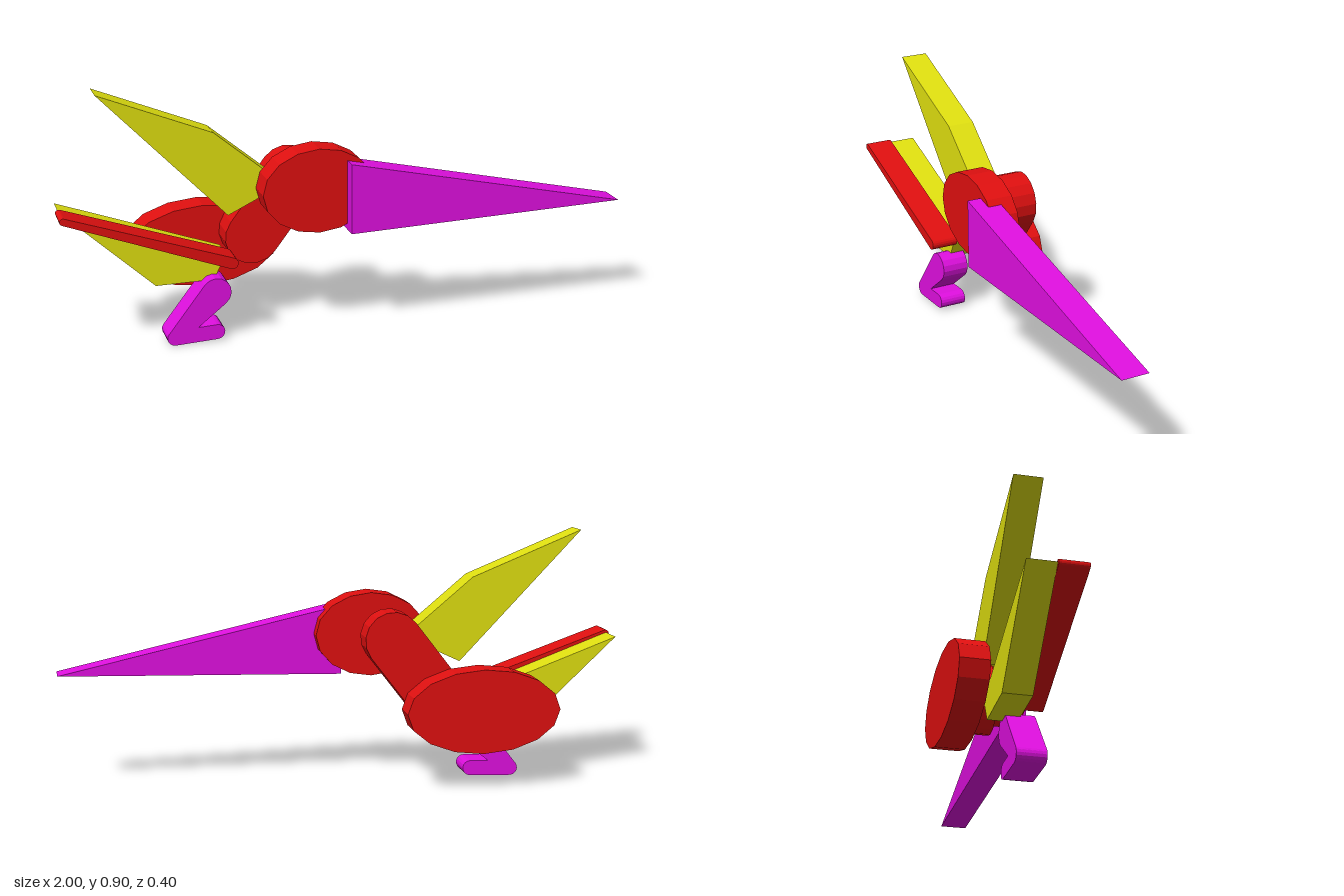
import * as THREE from 'three';

const T = 0.1; // thickness of every flat layer

const red = new THREE.MeshStandardMaterial({ name: 'red', color: 0xe01010 });
const yellow = new THREE.MeshStandardMaterial({ name: 'yellow', color: 0xe0e010 });
const magenta = new THREE.MeshStandardMaterial({ name: 'magenta', color: 0xe010e0 });

// Points along an arc, with the end included
function arc(cx, cy, rx, ry, start, end, steps) {
  const pts = [];
  for (let i = 0; i <= steps; i++) {
    const a = start + (end - start) * i / steps;
    pts.push([cx + rx * Math.cos(a), cy + ry * Math.sin(a)]);
  }
  return pts;
}

// Faceted ellipse outline
function ellipse(cx, cy, rx, ry) {
  return arc(cx, cy, rx, ry, 0, Math.PI * 2, 16).slice(0, 16);
}

// Rounded bar outline between two circles of different radius
function bar(ax, ay, ra, bx, by, rb) {
  const dir = Math.atan2(by - ay, bx - ax);
  const spread = Math.acos((ra - rb) / Math.hypot(bx - ax, by - ay));
  return [
    ...arc(ax, ay, ra, ra, dir + spread, dir + 2 * Math.PI - spread, 8),
    ...arc(bx, by, rb, rb, dir - spread, dir + spread, 8),
  ];
}

// Extrude an outline into a flat layer starting at depth z
function layer(name, outline, z, material) {
  const shape = new THREE.Shape(outline.map(([x, y]) => new THREE.Vector2(x, y)));
  const geometry = new THREE.ExtrudeGeometry(shape, { depth: T, bevelEnabled: false });
  const mesh = new THREE.Mesh(geometry, material);
  mesh.name = name;
  mesh.position.z = z;
  return mesh;
}

export function createModel() {
  const bird = new THREE.Group();
  bird.name = 'bird';

  // Body, neck and head
  bird.add(layer('body', ellipse(-0.465, 0.284, 0.275, 0.15), -0.2, red));
  bird.add(layer('neck', bar(-0.31, 0.335, 0.1, -0.16, 0.53, 0.1), -0.1, red));
  bird.add(layer('head', ellipse(-0.11, 0.53, 0.2, 0.15), 0.05, red));

  // Long pointed beak
  bird.add(layer('beak', [[-0.01, 0.38], [1, 0.405], [-0.01, 0.63]], 0.1, magenta));

  // Raised wing and lower wing
  bird.add(layer('upperWing',
    [[-0.85, 0.9], [-0.41, 0.44], [-0.21, 0.535], [-0.455, 0.74]], -0.05, yellow));
  bird.add(layer('lowerWing',
    [[-0.99, 0.51], [-0.67, 0.21], [-0.465, 0.21], [-0.42, 0.3]], -0.05, yellow));

  // Thin tail bar
  bird.add(layer('tail', bar(-0.988, 0.507, 0.012, -0.42, 0.3, 0.02), 0.05, red));

  // Leg and foot
  const leg = new THREE.Group();
  leg.name = 'leg';
  leg.add(layer('shin', bar(-0.468, 0.179, 0.053, -0.618, 0.028, 0.027), 0, magenta));
  leg.add(layer('foot', bar(-0.618, 0.028, 0.027, -0.468, 0.034, 0.027), 0, magenta));
  bird.add(leg);

  return bird;
}
